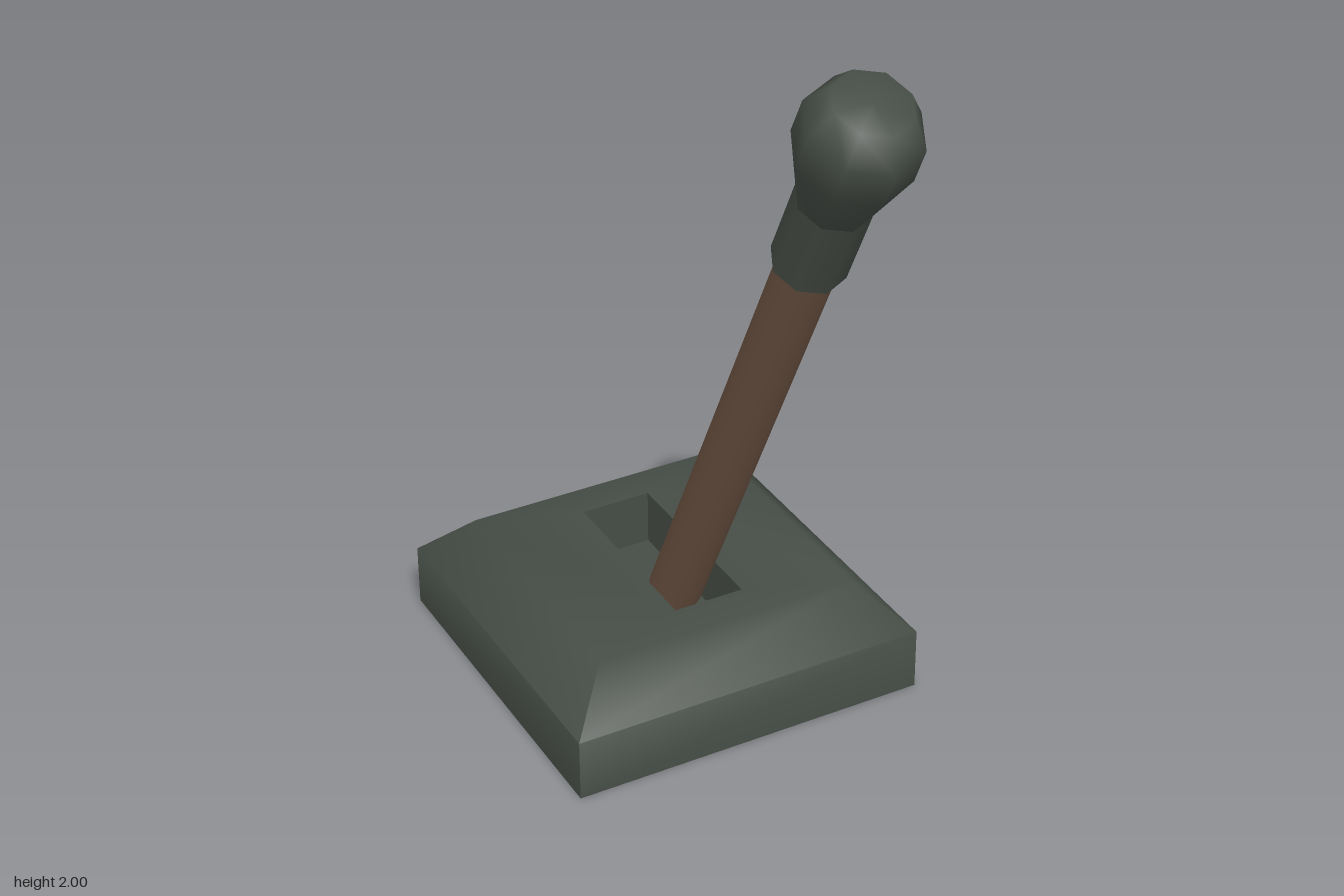
import * as THREE from 'three';
import { toCreasedNormals } from 'three/addons/utils/BufferGeometryUtils.js';

const metal = new THREE.MeshStandardMaterial({ color: 0x464d46 });
metal.name = 'darkGreyGreen';
const wood = new THREE.MeshStandardMaterial({ color: 0x6d5342 });
wood.name = 'brown';

function add(parent, name, geometry, material) {
  const mesh = new THREE.Mesh(geometry, material);
  mesh.name = name;
  parent.add(mesh);
  return mesh;
}

// Rectangular ring of four corners, anticlockwise seen from above
const ring = (halfX, halfZ, y) =>
  [[-1, 1], [1, 1], [1, -1], [-1, -1]].map(([x, z]) => [x * halfX, y, z * halfZ]);

// Chamfered block with a sunken slot in its top
function baseGeometry() {
  const rings = [
    ring(0.48, 0.481, 0),
    ring(0.48, 0.481, 0.167),
    ring(0.36, 0.358, 0.29),
    ring(0.095, 0.256, 0.29),
    ring(0.095, 0.256, 0.14),
  ];
  const positions = [];
  const quad = (a, b, c, d) => positions.push(...a, ...b, ...c, ...a, ...c, ...d);
  for (let k = 0; k < rings.length - 1; k++) {
    for (let i = 0; i < 4; i++) {
      const j = (i + 1) % 4;
      quad(rings[k][i], rings[k][j], rings[k + 1][j], rings[k + 1][i]);
    }
  }
  quad(...rings[4]);
  quad(...[...rings[0]].reverse());
  const geometry = new THREE.BufferGeometry();
  geometry.setAttribute('position', new THREE.Float32BufferAttribute(positions, 3));
  return toCreasedNormals(geometry, THREE.MathUtils.degToRad(65));
}

// Eight-sided turned shape from [radius, height] pairs
const turned = (profile) =>
  new THREE.LatheGeometry(profile.map(([r, y]) => new THREE.Vector2(r, y)), 8);

export function createModel() {
  const model = new THREE.Group();
  model.name = 'lever';

  add(model, 'base', baseGeometry(), metal).position.z = -0.284;

  // Tilted arm, with its origin at the lower end of the grip
  const arm = new THREE.Group();
  arm.name = 'arm';
  arm.position.set(0, 1.472, 0.43);
  arm.rotation.x = THREE.MathUtils.degToRad(27);
  model.add(arm);

  add(arm, 'shaft', new THREE.CylinderGeometry(0.07, 0.07, 1.6, 16), wood).position.y = -0.605;

  // Grip: underside, straight collar and rounded knob
  add(arm, 'gripUnderside', turned([[0.05, 0], [0.09, 0]]), metal);
  add(arm, 'gripCollar', turned([[0.09, 0], [0.09, 0.224]]), metal);
  add(arm, 'gripKnob', turned([
    [0.09, 0.224], [0.14, 0.375], [0.139, 0.474], [0.094, 0.546], [0, 0.546],
  ]), metal);

  return model;
}
